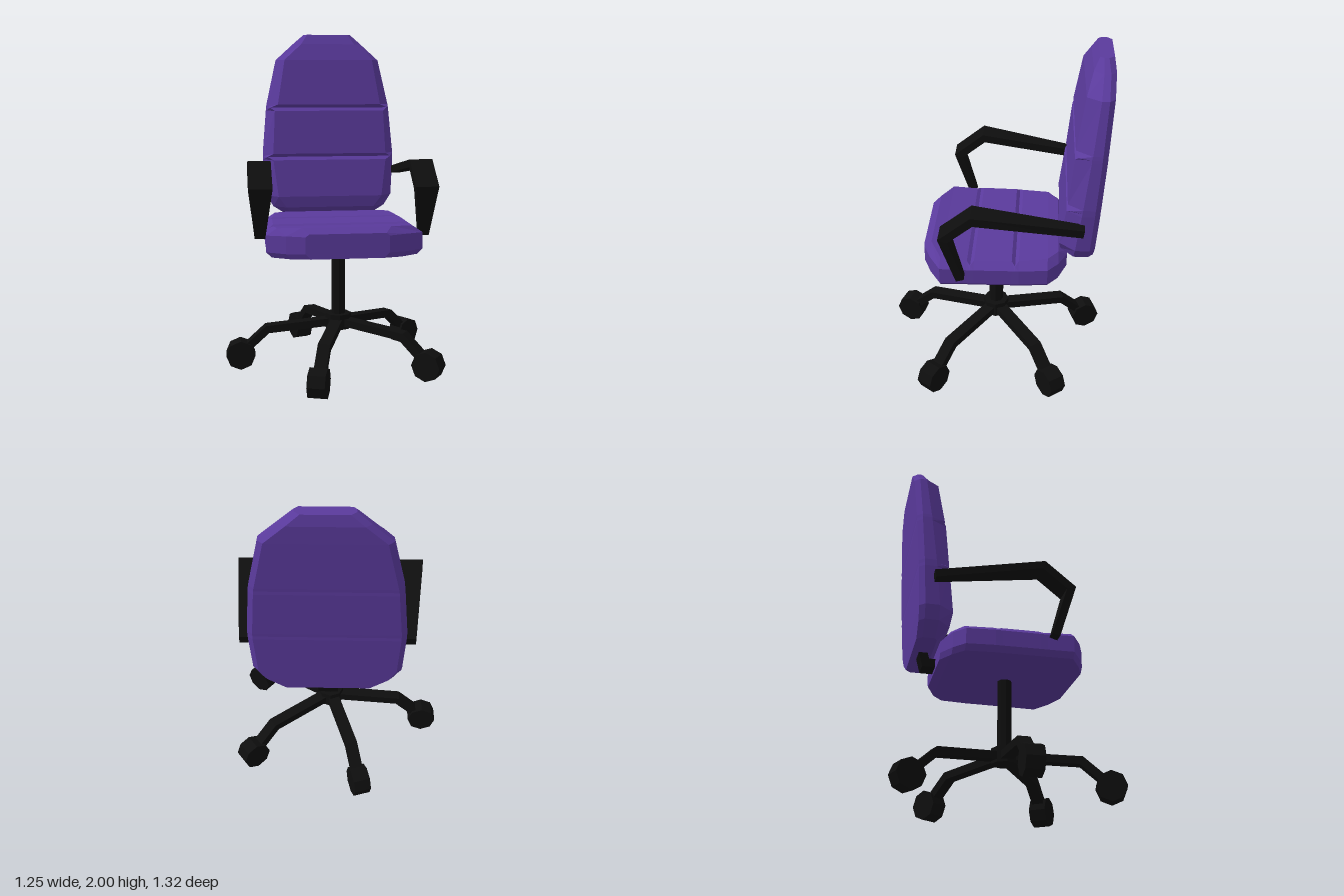
import * as THREE from 'three';

const fabric = new THREE.MeshStandardMaterial({ color: 0x5a3a9c, flatShading: true });
const plastic = new THREE.MeshStandardMaterial({ color: 0x0e0e0e, flatShading: true });

// Closed skin over a list of rings (arrays of Vector3), capped at both ends
function skin(rings) {
  const n = rings[0].length, pos = [], idx = [];
  rings.forEach(r => r.forEach(p => pos.push(p.x, p.y, p.z)));
  for (let i = 0; i < rings.length - 1; i++) {
    for (let j = 0; j < n; j++) {
      const k = (j + 1) % n, a = i * n, b = a + n;
      idx.push(a + j, a + k, b + k, a + j, b + k, b + j);
    }
  }
  const e = (rings.length - 1) * n;
  for (let j = 1; j < n - 1; j++) idx.push(0, j + 1, j, e, e + j, e + j + 1);
  const g = new THREE.BufferGeometry();
  g.setAttribute('position', new THREE.Float32BufferAttribute(pos, 3));
  g.setIndex(idx);
  g.computeVertexNormals();
  return g;
}

// Cushion from sections [t, half width, underside, rim, top, top inset]
function cushion(sections, place) {
  return skin(sections.map(([t, w, lo, rim, top, inset]) => {
    const half = [[w - 0.03, lo], [w, lo + 0.03], [w, rim], [w - inset, top]];
    const other = half.map(([x, d]) => [-x, d]).reverse();
    return [...half, ...other].map(([x, d]) => place(x, d, t));
  }));
}

// Flat bar along points [z, y, centre x, width], mitred at the bends
function bar(pts, thick) {
  const dir = i => new THREE.Vector2(pts[i + 1][0] - pts[i][0], pts[i + 1][1] - pts[i][1]).normalize();
  return skin(pts.map(([z, y, cx, w], i) => {
    const a = dir(Math.max(i - 1, 0)), b = dir(Math.min(i, pts.length - 2));
    const m = a.clone().add(b).normalize();
    const h = thick / 2 / m.dot(a);
    return [[-1, -1], [1, -1], [1, 1], [-1, 1]].map(([sx, sn]) =>
      new THREE.Vector3(cx + sx * w / 2, y + sn * h * m.x, z - sn * h * m.y));
  }));
}

export function createModel() {
  const model = new THREE.Group();
  model.name = 'officeChair';
  const chair = new THREE.Group();
  chair.name = 'chair';
  chair.position.x = 0.045;
  model.add(chair);

  const add = (name, geometry, material, parent = chair) => {
    const mesh = new THREE.Mesh(geometry, material);
    mesh.name = name;
    parent.add(mesh);
    return mesh;
  };

  // Seat cushion, back to front, with two stitched grooves
  add('seat', cushion([
    [-0.42, 0.24, 0.74, 0.84, 0.845, 0.03],
    [-0.37, 0.35, 0.73, 0.85, 0.885, 0.07],
    [-0.31, 0.42, 0.73, 0.85, 0.89, 0.06],
    [-0.15, 0.435, 0.73, 0.85, 0.885, 0.05],
    [-0.13, 0.435, 0.73, 0.85, 0.868, 0.02],
    [-0.11, 0.435, 0.73, 0.85, 0.885, 0.045],
    [0.10, 0.44, 0.73, 0.85, 0.885, 0.045],
    [0.12, 0.44, 0.73, 0.85, 0.868, 0.02],
    [0.14, 0.44, 0.73, 0.85, 0.88, 0.045],
    [0.29, 0.445, 0.73, 0.855, 0.895, 0.06],
    [0.355, 0.34, 0.73, 0.86, 0.905, 0.09],
    [0.40, 0.235, 0.735, 0.86, 0.875, 0.02],
  ], (x, d, t) => new THREE.Vector3(x, d, t)), fabric);

  // Backrest, top to bottom, leaning backwards, with two grooves
  add('backrest', cushion([
    [2.00, 0.15, -0.615, -0.56, -0.54, 0.02],
    [1.94, 0.22, -0.625, -0.56, -0.51, 0.05],
    [1.84, 0.33, -0.62, -0.55, -0.475, 0.05],
    [1.56, 0.392, -0.602, -0.52, -0.433, 0.065],
    [1.54, 0.395, -0.60, -0.515, -0.45, 0.02],
    [1.52, 0.397, -0.60, -0.515, -0.43, 0.05],
    [1.25, 0.42, -0.582, -0.485, -0.405, 0.06],
    [1.23, 0.42, -0.58, -0.483, -0.422, 0.025],
    [1.21, 0.42, -0.58, -0.48, -0.40, 0.06],
    [0.98, 0.405, -0.565, -0.455, -0.37, 0.075],
    [0.91, 0.36, -0.56, -0.45, -0.38, 0.08],
    [0.845, 0.26, -0.555, -0.455, -0.44, 0.03],
  ], (x, d, t) => new THREE.Vector3(x, t, d)), fabric);

  // Bracket joining seat and backrest
  add('backBracket', bar([[-0.3, 0.785, 0, 0.11], [-0.475, 0.785, 0, 0.11], [-0.5, 0.88, 0, 0.11]], 0.05), plastic);

  // Armrests
  for (const s of [1, -1]) {
    add(s > 0 ? 'leftArmrest' : 'rightArmrest', bar([
      [-0.495, 1.135, s * 0.443, 0.065],
      [0.10, 1.23, s * 0.473, 0.135],
      [0.255, 1.105, s * 0.473, 0.135],
      [0.17, 0.825, s * 0.475, 0.06],
    ], 0.045), plastic);
  }

  // Column and hub
  add('column', new THREE.CylinderGeometry(0.042, 0.042, 0.49, 8), plastic).position.y = 0.495;
  add('hub', new THREE.CylinderGeometry(0.077, 0.077, 0.09, 8), plastic).position.y = 0.275;

  // Five-star base with wheels
  for (let i = 0; i < 5; i++) {
    const leg = new THREE.Group();
    leg.name = 'baseLeg' + (i + 1);
    leg.rotation.y = -Math.PI / 2 + i * Math.PI * 2 / 5;
    chair.add(leg);
    add('legBar', bar([[0, 0.275, 0, 0.07], [0.43, 0.237, 0, 0.07], [0.57, 0.11, 0, 0.07]], 0.045), plastic, leg);
    const wheel = add('wheel', new THREE.CylinderGeometry(0.087, 0.087, 0.1, 8), plastic, leg);
    wheel.rotation.z = Math.PI / 2;
    wheel.position.set(0, 0.087, 0.59);
  }
  return model;
}
